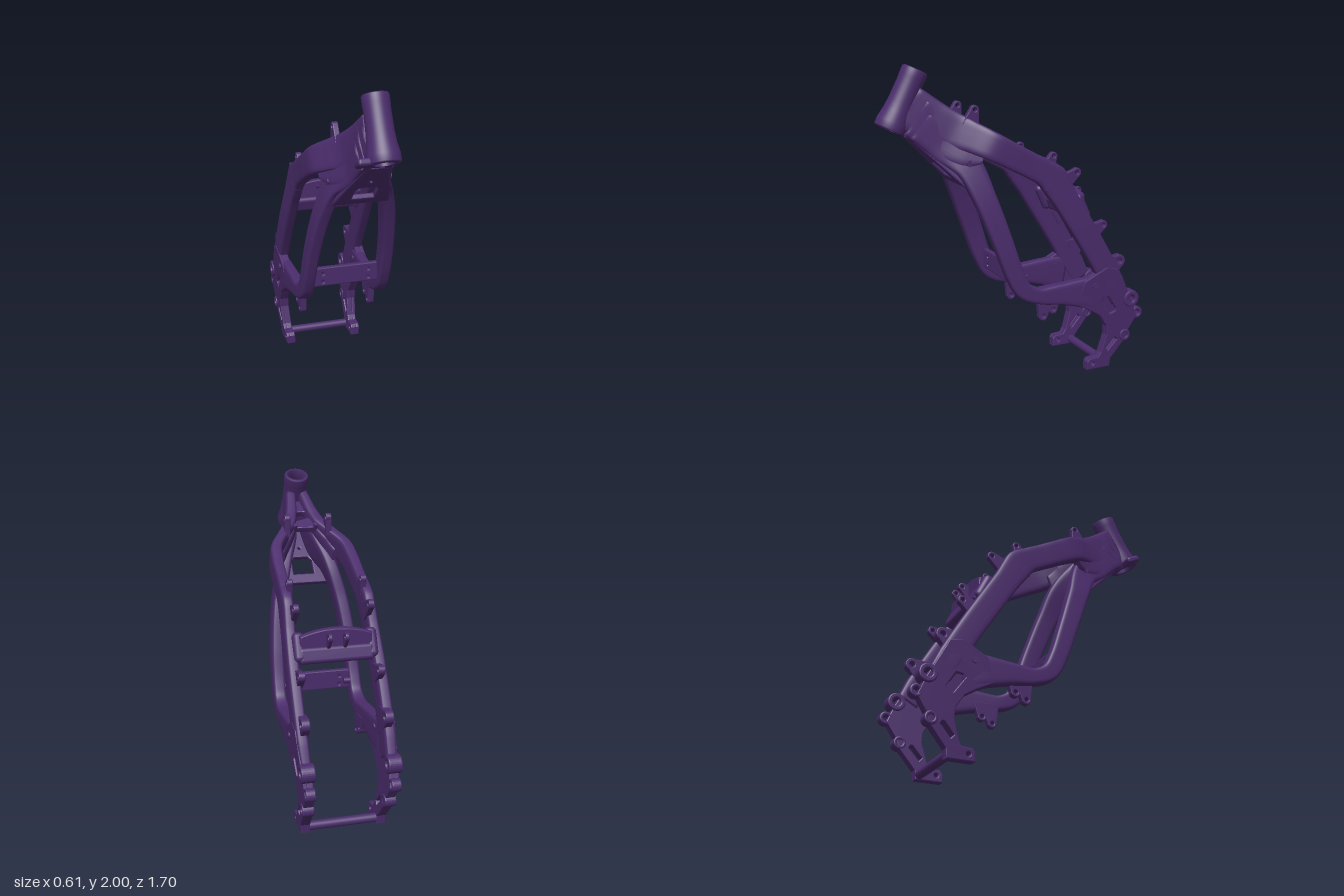
import * as THREE from 'three';
import { RoundedBoxGeometry } from 'three/addons/geometries/RoundedBoxGeometry.js';

const paint = new THREE.MeshStandardMaterial({ color: 0x4a2c6b, side: THREE.DoubleSide });

function add(parent, name, geometry) {
  const mesh = new THREE.Mesh(geometry, paint);
  mesh.name = name;
  parent.add(mesh);
}

// Rounded-box beam swept through stations [z, y, x, depth, width]
function beam(stations, rings = 60, sides = 32) {
  const curve = new THREE.CatmullRomCurve3(stations.map(([z, y, x]) => new THREE.Vector3(x, y, z)), false, 'centripetal');
  const pos = [], idx = [], last = stations.length - 1;
  const soft = (v) => Math.sign(v) * Math.abs(v) ** 0.42;
  for (let i = 0; i <= rings; i++) {
    const t = i / rings, k = Math.min(Math.floor(t * last), last - 1), f = t * last - k;
    const c = curve.getPoint(t), d = curve.getTangent(t), len = Math.hypot(d.y, d.z);
    const h = THREE.MathUtils.lerp(stations[k][3], stations[k + 1][3], f) / 2;
    const w = THREE.MathUtils.lerp(stations[k][4], stations[k + 1][4], f) / 2;
    for (let j = 0; j < sides; j++) {
      const a = (j / sides) * Math.PI * 2, b = soft(Math.sin(a)) * h;
      pos.push(c.x + soft(Math.cos(a)) * w, c.y + (b * d.z) / len, c.z - (b * d.y) / len);
    }
  }
  for (let i = 0; i < rings; i++) {
    for (let j = 0; j < sides; j++) {
      const a = i * sides + j, b = i * sides + ((j + 1) % sides);
      idx.push(a, b, a + sides, b, b + sides, a + sides);
    }
  }
  for (let j = 1; j < sides - 1; j++) {
    const e = rings * sides;
    idx.push(0, j + 1, j, e, e + j, e + j + 1);
  }
  const g = new THREE.BufferGeometry();
  g.setAttribute('position', new THREE.Float32BufferAttribute(pos, 3));
  g.setIndex(idx);
  g.computeVertexNormals();
  return g;
}

const extrude = (shape, depth, bevel = 0.008) => new THREE.ExtrudeGeometry(shape, {
  depth: depth - 2 * bevel, bevelEnabled: true, bevelSize: bevel, bevelThickness: bevel,
  bevelOffset: -bevel, bevelSegments: 2, curveSegments: 16,
}).translate(0, 0, bevel);

const circleHole = (x, y, r) => new THREE.Path().absarc(x, y, r, 0, Math.PI * 2, true);
const points = (list) => list.map(([x, y]) => new THREE.Vector2(x, y));
const sidePoints = (list) => list.map(([z, y]) => new THREE.Vector2(-z, y));

// Side-facing plate: outline in [z, y], thickness along x, leaning in toward the foot
function sidePlate(outline, holes, x, depth) {
  const shape = new THREE.Shape(sidePoints(outline));
  shape.holes = holes;
  const g = extrude(shape, depth, 0.006).rotateY(Math.PI / 2).translate(x, 0, 0);
  const p = g.attributes.position;
  for (let i = 0; i < p.count; i++) p.setX(i, p.getX(i) + 0.055 * (p.getY(i) - 0.6));
  g.computeVertexNormals();
  return g;
}

// Drilled mounting tab with its eye at (z, y); the foot points along angle
function lug(z, y, x, r, thick, length, angle) {
  const s = new THREE.Shape();
  s.moveTo(-2 * r, -length);
  s.lineTo(2 * r, -length);
  s.lineTo(r, 0);
  s.absarc(0, 0, r, 0, Math.PI, false);
  s.closePath();
  s.holes.push(circleHole(0, 0, r * 0.42));
  return extrude(s, thick, 0.005).rotateZ(angle).rotateY(Math.PI / 2).translate(x - thick / 2, y, z);
}

// Drilled round boss facing sideways
function ringBoss(z, y, x, r, thick) {
  const s = new THREE.Shape().absarc(0, 0, r, 0, Math.PI * 2, false);
  s.holes.push(circleHole(0, 0, r * 0.45));
  return extrude(s, thick).rotateY(Math.PI / 2).translate(x - thick / 2, y, z);
}

function buildSide() {
  const side = new THREE.Group();

  // Main spar from the head tube, bending down to the pivot
  add(side, 'mainSpar', beam([
    [0.66, 1.75, 0.04, 0.27, 0.07], [0.5, 1.655, 0.07, 0.24, 0.08], [0.4, 1.61, 0.1, 0.21, 0.085],
    [0.32, 1.575, 0.155, 0.185, 0.085], [0.22, 1.525, 0.222, 0.17, 0.08], [0.1, 1.462, 0.24, 0.16, 0.075],
    [-0.03, 1.393, 0.244, 0.157, 0.07], [-0.12, 1.345, 0.247, 0.16, 0.07], [-0.185, 1.295, 0.25, 0.19, 0.07],
    [-0.225, 1.235, 0.252, 0.18, 0.07], [-0.275, 1.155, 0.256, 0.163, 0.07],
    [-0.385, 0.98, 0.262, 0.16, 0.073], [-0.52, 0.76, 0.264, 0.155, 0.073], [-0.62, 0.58, 0.262, 0.16, 0.073],
    [-0.68, 0.47, 0.257, 0.14, 0.065]], 112));

  // Down tube curving back into the lower rail
  add(side, 'downTube', beam([
    [0.6, 1.65, 0.06, 0.2, 0.08], [0.45, 1.52, 0.09, 0.22, 0.085], [0.335, 1.4, 0.15, 0.17, 0.085],
    [0.25, 1.2, 0.205, 0.14, 0.085], [0.15, 0.93, 0.24, 0.125, 0.08], [0.07, 0.71, 0.25, 0.115, 0.08],
    [0.015, 0.615, 0.252, 0.11, 0.08], [-0.08, 0.567, 0.253, 0.1, 0.08], [-0.25, 0.555, 0.257, 0.14, 0.075],
    [-0.42, 0.54, 0.26, 0.2, 0.07], [-0.55, 0.52, 0.26, 0.25, 0.06]], 80));

  // Web closing the neck between spar and down tube
  add(side, 'neckWeb', beam([
    [0.62, 1.7, 0.055, 0.26, 0.07], [0.46, 1.58, 0.083, 0.27, 0.08],
    [0.34, 1.5, 0.145, 0.22, 0.078], [0.26, 1.47, 0.195, 0.12, 0.07]], 36));

  // Pivot plate with slot, foot hole and pocket
  const outline = [[-0.4, 0.62], [-0.35, 0.47], [-0.45, 0.42], [-0.53, 0.37], [-0.58, 0.29], [-0.585, 0.23],
    [-0.55, 0.11], [-0.53, 0.08], [-0.465, 0.075], [-0.45, 0.055], [-0.45, 0], [-0.62, 0], [-0.625, 0.055],
    [-0.73, 0.18], [-0.75, 0.24], [-0.81, 0.33], [-0.77, 0.43], [-0.67, 0.62], [-0.64, 0.68], [-0.56, 0.7]];
  const slot = () => new THREE.Path(sidePoints([[-0.582, 0.135], [-0.6, 0.115], [-0.665, 0.185], [-0.655, 0.203], [-0.637, 0.2]]));
  const footHole = () => circleHole(0.49, 0.04, 0.013);
  const pocket = new THREE.Path(sidePoints([[-0.53, 0.475], [-0.545, 0.49], [-0.59, 0.495], [-0.645, 0.405], [-0.64, 0.39], [-0.6, 0.375]]));
  add(side, 'pivotPlateInner', sidePlate(outline, [slot(), footHole()], 0.238, 0.04));
  add(side, 'pivotPlateOuter', sidePlate(outline, [slot(), footHole(), pocket], 0.274, 0.025));

  // Mounting tabs: z, y, x, radius, thickness, foot length, angle
  const tabs = [
    [0.285, 1.73, 0.135, 0.028, 0.035, 0.1, -0.3], [-0.195, 1.435, 0.228, 0.026, 0.035, 0.09, -0.45],
    [-0.36, 1.32, 0.228, 0.03, 0.035, 0.13, -1.0], [-0.55, 0.97, 0.24, 0.03, 0.04, 0.1, -1.1],
    [-0.67, 0.72, 0.25, 0.042, 0.05, 0.09, -1.1],
    [-0.13, 0.42, 0.235, 0.03, 0.04, 0.12, Math.PI - 0.15], [-0.2, 0.455, 0.235, 0.03, 0.04, 0.09, Math.PI],
    [-0.475, 1.165, 0.05, 0.026, 0.022, 0.08, -1.0]];
  tabs.forEach((t) => add(side, 'mountingTab', lug(...t)));

  // Round bosses along the rear edge: z, y, x, radius, thickness
  const bosses = [[-0.755, 0.46, 0.259, 0.056, 0.085], [-0.812, 0.352, 0.255, 0.04, 0.06], [-0.722, 0.21, 0.25, 0.04, 0.075]];
  bosses.forEach((b) => add(side, 'rearBoss', ringBoss(...b)));

  // Bolt bosses on the faces
  for (const [z, y, x] of [[0.335, 1.42, 0.155], [-0.48, 0.585, 0.263], [0.03, 0.7, 0.22]]) {
    add(side, 'boltBoss', new THREE.CylinderGeometry(0.02, 0.02, 0.088, 20).rotateZ(Math.PI / 2).translate(x, y, z));
  }

  // Flared end of the shock cross member
  add(side, 'crossMemberFlare', new RoundedBoxGeometry(0.07, 0.18, 0.11, 3, 0.03).rotateX(0.45).translate(0.222, 1.09, -0.385));
  return side;
}

export function createModel() {
  const frame = new THREE.Group();
  frame.name = 'motorcycleFrame';

  // Hollow head tube
  const profile = [[0.058, 0], [0.09, 0], [0.096, 0.008], [0.096, 0.05], [0.085, 0.11], [0.079, 0.18], [0.077, 0.3],
    [0.079, 0.33], [0.079, 0.378], [0.073, 0.385], [0.052, 0.385], [0.052, 0.33], [0.058, 0]];
  add(frame, 'headTube', new THREE.LatheGeometry(points(profile), 40).rotateX(-0.458).translate(0, 1.62, 0.766));
  add(frame, 'steeringStop', new RoundedBoxGeometry(0.1, 0.045, 0.1, 3, 0.018).rotateX(-0.458).translate(-0.105, 1.63, 0.745));

  // Mirrored halves
  const left = buildSide();
  left.name = 'leftSide';
  const right = buildSide();
  right.name = 'rightSide';
  right.scale.x = -1;
  frame.add(left, right);

  // Front gusset under the neck, with a window
  const front = new THREE.Shape(points([[-0.18, 0], [0.18, 0], [0.13, 0.2], [0.065, 0.43], [-0.065, 0.43], [-0.13, 0.2]]));
  front.holes.push(new THREE.Path(points([[-0.068, 0.07], [-0.068, 0.17], [-0.045, 0.2], [0.045, 0.2], [0.068, 0.17], [0.068, 0.07]])));
  front.holes.push(circleHole(0, 0.27, 0.008));
  add(frame, 'frontGusset', extrude(front, 0.035).translate(0, 0, -0.03).rotateX(0.8).translate(0, 1.275, 0.355));

  // Top gusset bridging the spars, with a rounded window
  const top = new THREE.Shape(points([[-0.15, 0], [0.15, 0], [0.09, 0.12], [0.07, 0.27], [-0.07, 0.27], [-0.09, 0.12]]));
  const opening = new THREE.Path();
  opening.moveTo(-0.055, 0.07);
  opening.absarc(0, 0.105, 0.055, Math.PI, 0, true);
  opening.lineTo(0.055, 0.07);
  opening.closePath();
  top.holes.push(opening);
  add(frame, 'topGusset', extrude(top, 0.04).rotateX(Math.PI / 2 - 0.52).translate(0, 1.66, 0.34));
  for (const x of [-0.07, 0.07]) {
    add(frame, 'gussetBoss', new THREE.CylinderGeometry(0.018, 0.018, 0.05, 16).rotateX(-0.52).translate(x, 1.66, 0.355));
  }

  // Shock cross member: lower band and arched web
  add(frame, 'shockCrossMember', new RoundedBoxGeometry(0.46, 0.1, 0.08, 4, 0.025).rotateX(0.3).translate(0, 1.05, -0.42));
  const arch = new THREE.Shape();
  arch.moveTo(-0.22, 1.04);
  arch.lineTo(0.22, 1.04);
  arch.lineTo(0.22, 1.17);
  arch.quadraticCurveTo(0, 1.25, -0.22, 1.17);
  arch.closePath();
  add(frame, 'shockArch', extrude(arch, 0.045).translate(0, 0, -0.435));

  // Lower front cross plate with four bolt holes
  const plate = new THREE.Shape(points([[-0.23, 0.645], [0.23, 0.645], [0.23, 0.772], [-0.23, 0.772]]));
  for (const x of [-0.15, 0.15]) for (const y of [0.675, 0.73]) plate.holes.push(circleHole(x, y, 0.008));
  add(frame, 'lowerCrossPlate', extrude(plate, 0.035).translate(0, 0, 0.042));

  // Bottom bar joining the feet
  add(frame, 'bottomBar', new THREE.CylinderGeometry(0.028, 0.028, 0.48, 24).rotateZ(Math.PI / 2).translate(0, 0.032, -0.595));
  return frame;
}
